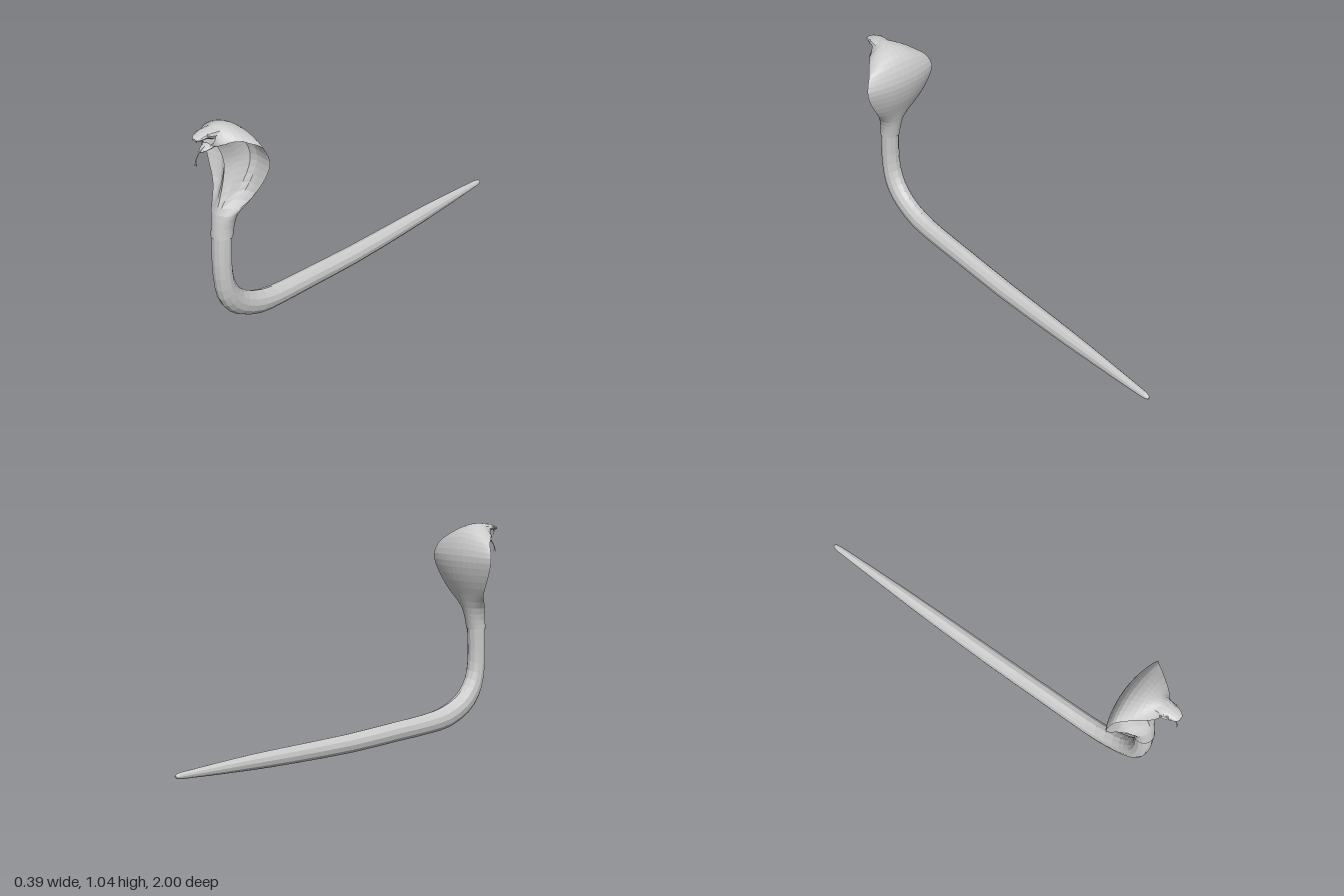
import * as THREE from 'three';

const material = new THREE.MeshStandardMaterial({ color: 0xcccccc, flatShading: true });

function add(group, geometry, name) {
  const mesh = new THREE.Mesh(geometry, material);
  mesh.name = name;
  group.add(mesh);
  return mesh;
}

// Plain oval section: t runs from 0 at the back to 1 at the front (belly)
const oval = (c, s) => 0.5 + 0.5 * s;

// Hood section: a thin sheet with a throat ridge, turning oval where it is narrow
function hoodShape(c, s, w, depth) {
  const thin = 0.02 / depth;
  const ridge = s > 0 ? (1 - thin) * Math.exp(-((c * w / 0.05) ** 2)) * Math.min(1, s * 3) : 0;
  const sheet = thin * (0.5 + 0.5 * s) + ridge;
  return THREE.MathUtils.lerp(oval(c, s), sheet, THREE.MathUtils.smoothstep(w, 0.05, 0.13));
}

// Loft through sections [backZ, backY, frontZ, frontY, halfWidth, edgeShiftZ, edgeShiftY]
function loft(sections, sides, steps, shape = oval) {
  const curve = (f) => new THREE.CatmullRomCurve3(sections.map(f), false, 'catmullrom', 0.5);
  const backs = curve((s) => new THREE.Vector3(0, s[1], s[0]));
  const fronts = curve((s) => new THREE.Vector3(0, s[3], s[2]));
  const widths = curve((s) => new THREE.Vector3(s[4], s[5] || 0, s[6] || 0));
  const rows = (sections.length - 1) * steps;
  const positions = [], index = [];
  for (let i = 0; i <= rows; i++) {
    const b = backs.getPoint(i / rows), f = fronts.getPoint(i / rows), w = widths.getPoint(i / rows);
    const depth = b.distanceTo(f);
    for (let j = 0; j < sides; j++) {
      const a = (j / sides) * Math.PI * 2, c = Math.cos(a), s = Math.sin(a);
      const p = b.clone().lerp(f, shape(c, s, w.x, depth));
      positions.push(w.x * c, p.y + w.z * c * c, p.z + w.y * c * c);
    }
  }
  for (let i = 0; i < rows; i++) {
    for (let j = 0; j < sides; j++) {
      const k = (j + 1) % sides, a = i * sides, b = a + sides;
      index.push(a + j, b + j, a + k, a + k, b + j, b + k);
    }
  }
  // End caps
  [0, rows].forEach((row, end) => {
    const mid = backs.getPoint(end).lerp(fronts.getPoint(end), 0.5);
    const n = positions.length / 3;
    positions.push(mid.x, mid.y, mid.z);
    for (let j = 0; j < sides; j++) {
      const p = row * sides + j, q = row * sides + (j + 1) % sides;
      index.push(n, end ? q : p, end ? p : q);
    }
  });
  const g = new THREE.BufferGeometry();
  g.setAttribute('position', new THREE.Float32BufferAttribute(positions, 3));
  g.setIndex(index);
  g.computeVertexNormals();
  return g;
}

export function createModel() {
  const model = new THREE.Group();
  model.name = 'cobra';

  // Tail, body and raised neck
  add(model, loft([
    [-1, 0.062, -1, 0.052, 0.006],
    [-0.98, 0.071, -0.98, 0.044, 0.014],
    [-0.9, 0.076, -0.9, 0.037, 0.019],
    [-0.6, 0.089, -0.6, 0.018, 0.03],
    [-0.35, 0.092, -0.35, 0.008, 0.037],
    [0, 0.095, 0, 0.002, 0.042],
    [0.3, 0.108, 0.3, 0.01, 0.043],
    [0.5, 0.117, 0.52, 0.016, 0.044],
    [0.63, 0.135, 0.67, 0.03, 0.045],
    [0.73, 0.175, 0.8, 0.085, 0.045],
    [0.79, 0.23, 0.875, 0.16, 0.046],
    [0.823, 0.3, 0.907, 0.25, 0.046],
    [0.83, 0.4, 0.918, 0.38, 0.046],
    [0.822, 0.53, 0.912, 0.52, 0.047],
  ], 12, 2), 'body');

  // Spread hood, arching forward over the throat
  add(model, loft([
    [0.82, 0.51, 0.915, 0.51, 0.05],
    [0.81, 0.56, 0.908, 0.56, 0.052],
    [0.795, 0.62, 0.895, 0.62, 0.068, 0.005],
    [0.77, 0.69, 0.872, 0.68, 0.11, 0.015],
    [0.742, 0.76, 0.85, 0.75, 0.152, 0.025],
    [0.724, 0.83, 0.838, 0.815, 0.185, 0.03],
    [0.72, 0.89, 0.842, 0.865, 0.195, 0.03, -0.005],
    [0.735, 0.95, 0.862, 0.915, 0.181, 0.025, -0.02],
    [0.765, 1.0, 0.88, 0.94, 0.163, 0.01, -0.042],
    [0.81, 1.028, 0.9, 0.955, 0.138, 0, -0.052],
    [0.85, 1.038, 0.915, 0.96, 0.1, 0, -0.035],
    [0.88, 1.04, 0.925, 0.96, 0.064, 0, -0.02],
    [0.91, 1.036, 0.93, 0.963, 0.042],
  ], 32, 2, hoodShape), 'hood');

  // Upper head and snout
  const head = new THREE.Group();
  head.name = 'head';
  model.add(head);
  add(head, loft([
    [0.86, 1.036, 0.86, 0.975, 0.05],
    [0.91, 1.037, 0.915, 0.985, 0.043],
    [0.95, 1.032, 0.95, 1, 0.036],
    [0.985, 1.021, 0.985, 1, 0.027],
    [1, 1.012, 1, 1.004, 0.012],
  ], 12, 2), 'upperJaw');

  // Open lower jaw
  add(head, loft([
    [0.88, 0.985, 0.88, 0.95, 0.038],
    [0.92, 0.975, 0.92, 0.948, 0.033],
    [0.952, 0.957, 0.95, 0.942, 0.021],
    [0.972, 0.947, 0.97, 0.94, 0.008],
  ], 10, 2), 'lowerJaw');

  // Paired eyes, fangs and tongue forks
  for (const side of [-1, 1]) {
    const eye = add(head, new THREE.SphereGeometry(0.007, 8, 6), 'eye');
    eye.position.set(side * 0.032, 1.02, 0.95);
    const fang = add(head, new THREE.ConeGeometry(0.004, 0.028, 6), 'fang');
    fang.rotation.x = Math.PI;
    fang.position.set(side * 0.016, 0.99, 0.972);
    const fork = new THREE.CatmullRomCurve3([
      new THREE.Vector3(0, 0.928, 0.988),
      new THREE.Vector3(side * 0.002, 0.91, 0.996),
      new THREE.Vector3(side * 0.005, 0.89, 0.998),
    ]);
    add(head, new THREE.TubeGeometry(fork, 5, 0.0015, 5), 'tongueFork');
  }
  const tongue = new THREE.CatmullRomCurve3([
    new THREE.Vector3(0, 0.965, 0.925),
    new THREE.Vector3(0, 0.952, 0.963),
    new THREE.Vector3(0, 0.928, 0.988),
  ]);
  add(head, new THREE.TubeGeometry(tongue, 8, 0.0025, 6), 'tongue');

  return model;
}
